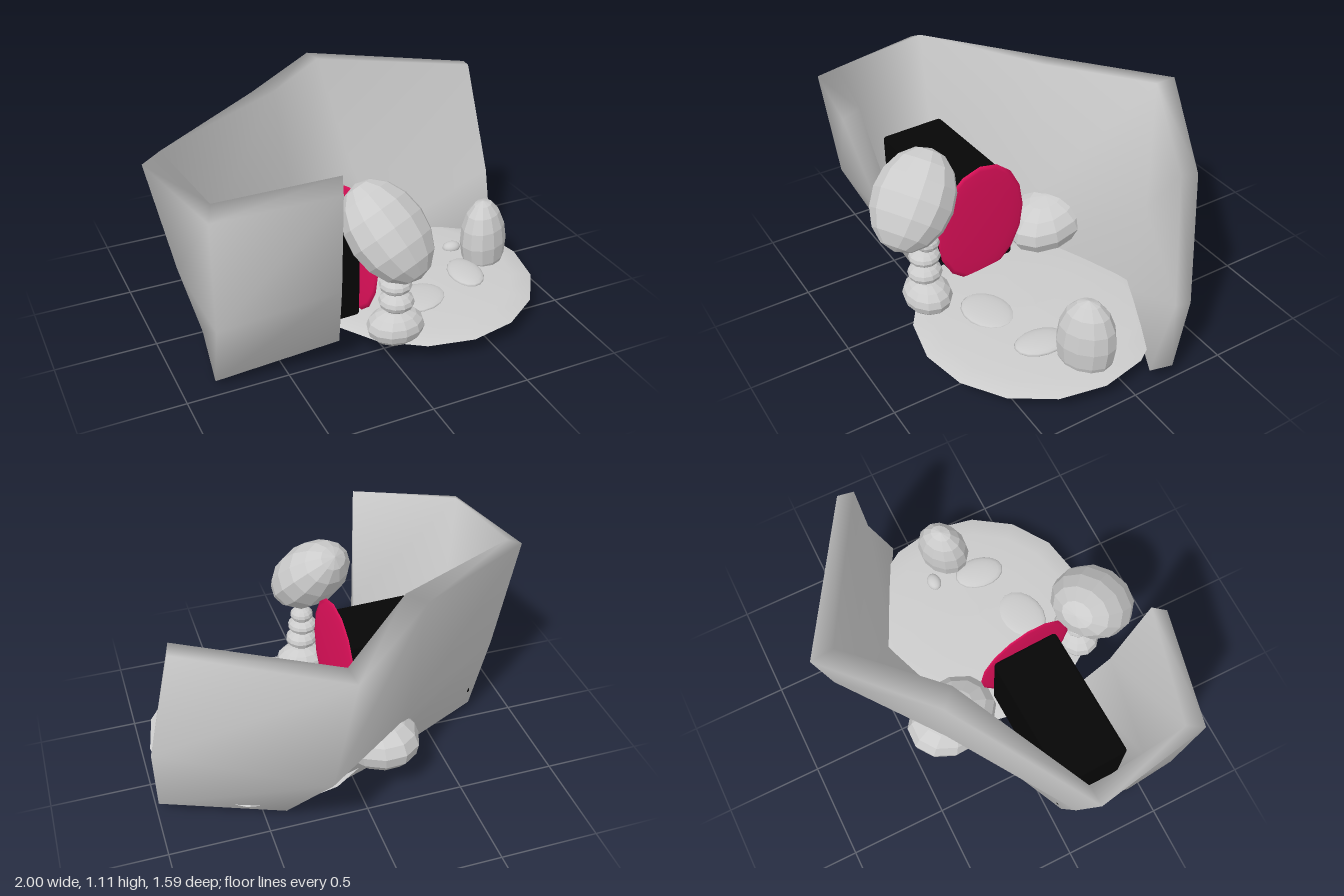
import * as THREE from 'three';
import { RoundedBoxGeometry } from 'three/addons/geometries/RoundedBoxGeometry.js';

const grey = new THREE.MeshStandardMaterial({ color: 0xcccccc });
const greyFlat = new THREE.MeshStandardMaterial({ color: 0xcccccc, flatShading: true });
const pink = new THREE.MeshStandardMaterial({ color: 0xe0105a });
const black = new THREE.MeshStandardMaterial({ color: 0x060606 });

function addMesh(parent, name, geometry, material, position = [0, 0, 0]) {
  const mesh = new THREE.Mesh(geometry, material);
  mesh.name = name;
  mesh.position.set(...position);
  parent.add(mesh);
  return mesh;
}

// Stretched sphere: centre and three radii, turned about y after tilting about x
function ellipsoid(parent, name, centre, radii, { material = greyFlat, segments = 12, rows = 8, tilt = 0, turn = 0 } = {}) {
  const mesh = addMesh(parent, name, new THREE.SphereGeometry(1, segments, rows), material, centre);
  mesh.scale.set(...radii);
  mesh.rotation.set(tilt, turn, 0, 'YXZ');
  return mesh;
}

// Thick, softly shaded wall lofted through upright sections.
// Each section runs up the outer side and down the inner side.
function wallGeometry(sections) {
  const n = sections[0].length;
  const index = [];
  for (let s = 0; s < sections.length - 1; s++) {
    for (let k = 0; k < n; k++) {
      const a = s * n + k, b = s * n + (k + 1) % n;
      index.push(a, b, a + n, b, b + n, a + n);
    }
  }
  // End caps
  const last = (sections.length - 1) * n;
  for (const [a, b, c] of [[0, 5, 4], [0, 4, 1], [1, 4, 3], [1, 3, 2]]) {
    index.push(a, b, c, last + a, last + c, last + b);
  }
  const geometry = new THREE.BufferGeometry();
  geometry.setAttribute('position', new THREE.Float32BufferAttribute(sections.flat(2), 3));
  geometry.setIndex(index);
  geometry.computeVertexNormals();
  return geometry;
}

export function createModel() {
  const model = new THREE.Group();
  model.name = 'walledRoom';

  // Flaring wall: front panel, left side, two back panels
  const sections = [
    [[-0.24, 0.12, 0.5], [-0.29, 0.5, 0.64], [-0.34, 1.06, 0.765],
      [-0.31, 1.11, 0.69], [-0.28, 0.5, 0.57], [-0.23, 0.12, 0.45]],
    [[-0.84, 0.025, 0.43], [-0.87, 0.42, 0.6], [-0.89, 1.0, 0.66],
      [-0.85, 1.04, 0.57], [-0.79, 0.42, 0.5], [-0.76, 0.06, 0.37]],
    [[-0.78, 0.05, 0.06], [-0.88, 0.44, 0.06], [-1.0, 1.02, 0.07],
      [-0.91, 1.065, 0.06], [-0.8, 0.44, 0.08], [-0.7, 0.08, 0.1]],
    [[-0.1, 0.06, -0.27], [-0.25, 0.4, -0.34], [-0.32, 1.08, -0.36],
      [-0.24, 1.095, -0.28], [-0.16, 0.4, -0.22], [-0.05, 0.09, -0.18]],
    [[0.4, 0.05, -0.44], [0.25, 0.44, -0.73], [0.16, 1.055, -0.8],
      [0.17, 1.06, -0.68], [0.32, 0.44, -0.55], [0.43, 0.09, -0.36]],
    [[0.99, 0.07, -0.22], [1.0, 0.44, -0.28], [0.88, 1.05, -0.35],
      [0.86, 1.06, -0.27], [0.98, 0.44, -0.21], [0.97, 0.08, -0.1]],
  ];
  addMesh(model, 'wall', wallGeometry(sections), grey);

  // Round, slightly domed floor slab
  const profile = [[0, 0.102], [0.57, 0.102], [0.605, 0.11], [0.5, 0.126], [0.3, 0.14], [0, 0.146]];
  addMesh(model, 'floor',
    new THREE.LatheGeometry(profile.map(p => new THREE.Vector2(...p)), 16), grey, [0.36, 0, 0.145]);

  // Dark tunnel closed by an oval door
  const tunnel = addMesh(model, 'tunnel',
    new RoundedBoxGeometry(0.7, 0.49, 0.355, 2, 0.02), black, [-0.42, 0.375, 0.2]);
  tunnel.rotation.y = 0.04;
  const door = ellipsoid(model, 'door', [-0.05, 0.425, 0.206], [0.335, 0.015, 0.265],
    { material: pink, segments: 16, turn: 0.1 });
  door.rotation.z = Math.PI / 2;

  // Stacked post with an egg-shaped head leaning back
  const post = new THREE.Group();
  post.name = 'post';
  model.add(post);
  ellipsoid(post, 'postBase', [0.025, 0.18, 0.565], [0.145, 0.09, 0.12]);
  for (const [x, y, z, r, h] of [
    [0.023, 0.32, 0.57, 0.087, 0.052],
    [0.018, 0.41, 0.565, 0.08, 0.045],
    [0.025, 0.49, 0.55, 0.062, 0.042],
  ]) ellipsoid(post, 'postBead', [x, y, z], [r, h, r]);
  ellipsoid(post, 'postHead', [-0.035, 0.715, 0.578], [0.21, 0.26, 0.166], { tilt: -0.78, turn: 0.52 });

  // Upright stone through the floor
  ellipsoid(model, 'uprightStone', [0.77, 0.23, 0.128], [0.148, 0.23, 0.115], { tilt: -0.06, turn: 0.6 });

  // Stone lodged in the back wall
  ellipsoid(model, 'wallStone', [-0.125, 0.245, -0.25], [0.2, 0.145, 0.26], { tilt: 0.18, turn: 0.3 });

  // Flat pebbles on the floor
  for (const [x, y, z, rx, ry, rz, turn] of [
    [0.26, 0.138, 0.36, 0.15, 0.02, 0.115, 0.25],
    [0.59, 0.142, 0.26, 0.09, 0.025, 0.135, -0.15],
    [0.65, 0.145, 0.01, 0.05, 0.03, 0.038, 0],
  ]) ellipsoid(model, 'pebble', [x, y, z], [rx, ry, rz], { material: grey, segments: 16, rows: 10, turn });

  return model;
}
